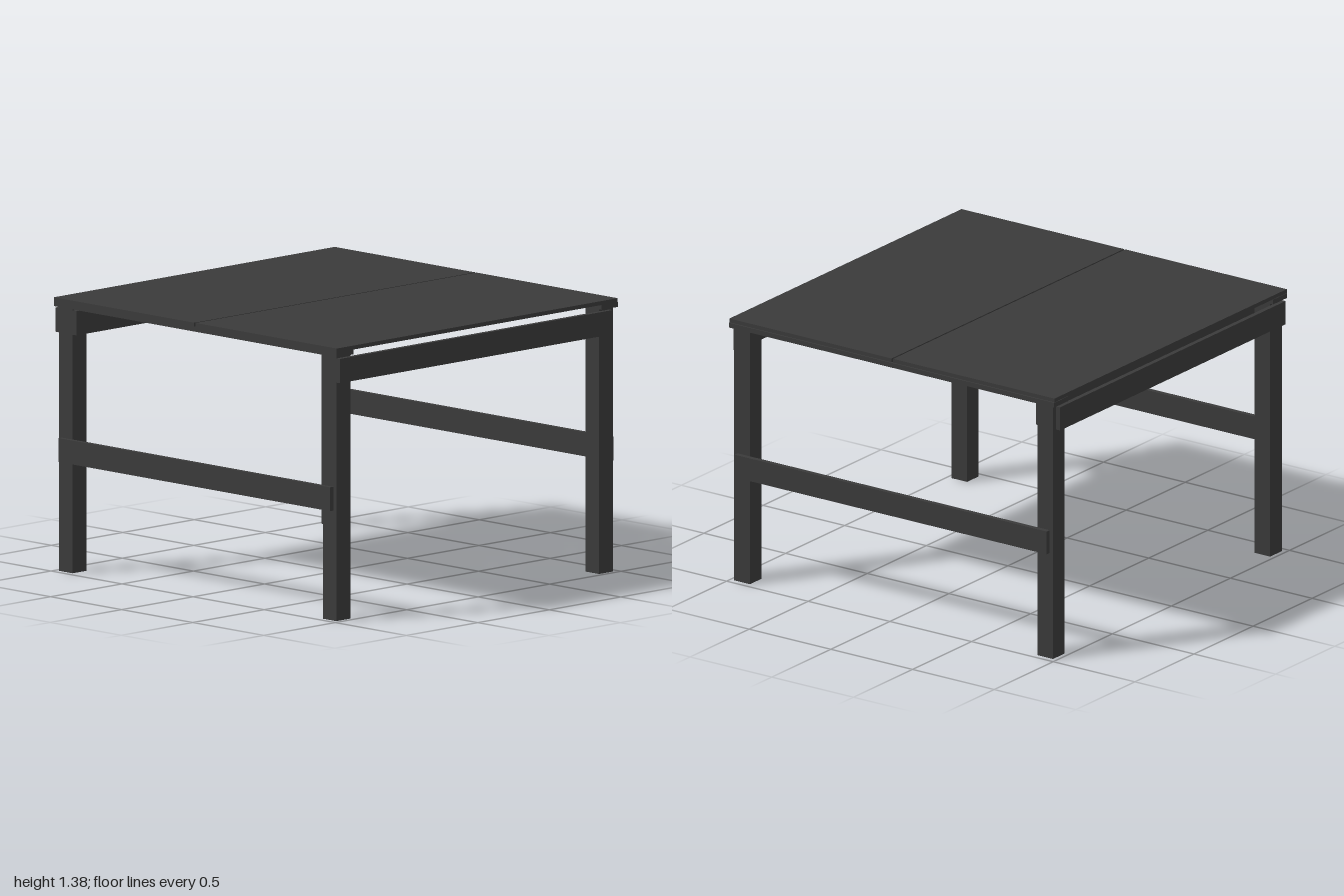
import * as THREE from 'three';

export function createModel() {
  const group = new THREE.Group();
  const material = new THREE.MeshStandardMaterial({ color: 0x3a3a3a });

  // Box given by its lower and upper limits on each axis
  function board(name, [x0, x1], [y0, y1], [z0, z1]) {
    const mesh = new THREE.Mesh(new THREE.BoxGeometry(x1 - x0, y1 - y0, z1 - z0), material);
    mesh.position.set((x0 + x1) / 2, (y0 + y1) / 2, (z0 + z1) / 2);
    mesh.name = name;
    group.add(mesh);
  }
  const mirrored = (side, a, b) => (side > 0 ? [a, b] : [-b, -a]);

  for (const side of [-1, 1]) {
    const label = side > 0 ? 'left' : 'right';
    // Square legs
    for (const end of [-1, 1]) {
      board(`${label}${end > 0 ? 'Front' : 'Back'}Leg`,
        mirrored(side, 0.87, 0.968), [0, 1.335], mirrored(end, 0.88, 0.976));
    }
    // Low side stretcher on the outside of the legs
    board(`${label}Stretcher`, mirrored(side, 0.968, 0.993), [0.555, 0.675], [-0.955, 0.955]);
    // Flat bearer between legs and top
    board(`${label}Bearer`, mirrored(side, 0.867, 0.985), [1.335, 1.36], [-0.995, 0.995]);
  }

  // Upper rails: one at the front, a pair clasping the back legs
  const railX = [-0.968, 0.942], railY = [1.203, 1.325];
  board('frontRail', railX, railY, [0.976, 1]);
  board('backOuterRail', railX, railY, [-1, -0.976]);
  board('backInnerRail', railX, railY, [-0.88, -0.853]);

  // Two top panels with a narrow slit between them
  board('frontTopPanel', [-0.988, 0.978], [1.36, 1.38], [0.005, 0.998]);
  board('backTopPanel', [-0.988, 0.978], [1.36, 1.38], [-0.992, -0.004]);

  return group;
}
